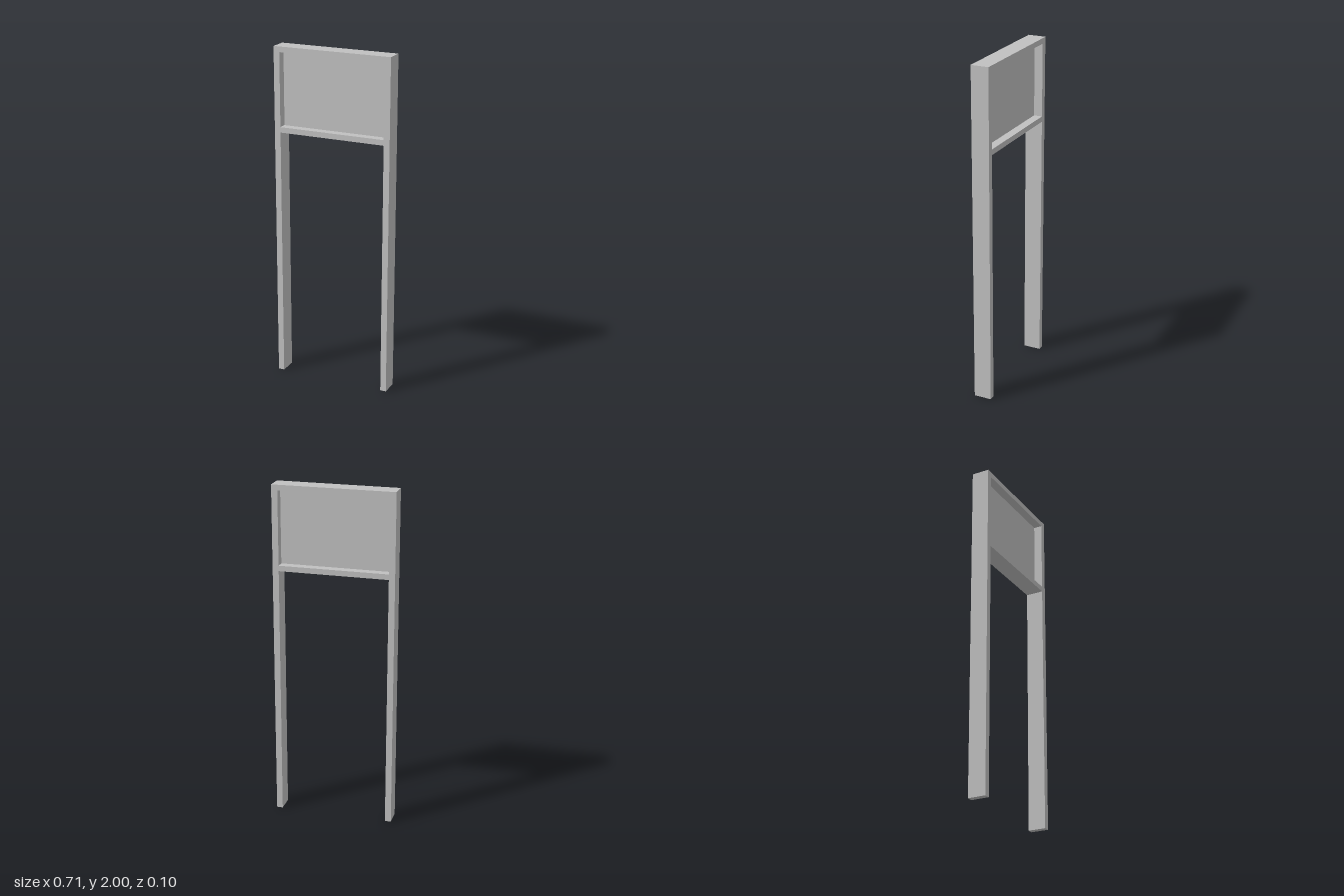
import * as THREE from 'three';

const HALF_W = 0.356, INNER_W = 0.32, DEPTH = 0.105;
const RAIL_BOTTOM = 1.503, OPEN_BOTTOM = 1.535, OPEN_TOP = 1.968, TOP = 2;

export function createModel() {
  const group = new THREE.Group();
  group.name = 'signStand';
  const grey = new THREE.MeshStandardMaterial({ color: 0xc0c0c0 });
  grey.name = 'light grey';

  // Posts and sign frame as one continuous outline with a window
  const outline = new THREE.Shape([
    [-HALF_W, 0], [-INNER_W, 0], [-INNER_W, RAIL_BOTTOM], [INNER_W, RAIL_BOTTOM],
    [INNER_W, 0], [HALF_W, 0], [HALF_W, TOP], [-HALF_W, TOP],
  ].map(([x, y]) => new THREE.Vector2(x, y)));
  outline.holes.push(new THREE.Path([
    [-INNER_W, OPEN_BOTTOM], [-INNER_W, OPEN_TOP], [INNER_W, OPEN_TOP], [INNER_W, OPEN_BOTTOM],
  ].map(([x, y]) => new THREE.Vector2(x, y))));
  const frameGeometry = new THREE.ExtrudeGeometry(outline, { depth: DEPTH, bevelEnabled: false });
  frameGeometry.translate(0, 0, -DEPTH / 2);
  const frame = new THREE.Mesh(frameGeometry, grey);
  frame.name = 'postsAndFrame';
  group.add(frame);

  // Thin sign panel recessed equally from front and back
  const panel = new THREE.Mesh(
    new THREE.BoxGeometry(INNER_W * 2, OPEN_TOP - OPEN_BOTTOM, 0.004), grey);
  panel.name = 'signPanel';
  panel.position.y = (OPEN_TOP + OPEN_BOTTOM) / 2;
  group.add(panel);

  return group;
}
